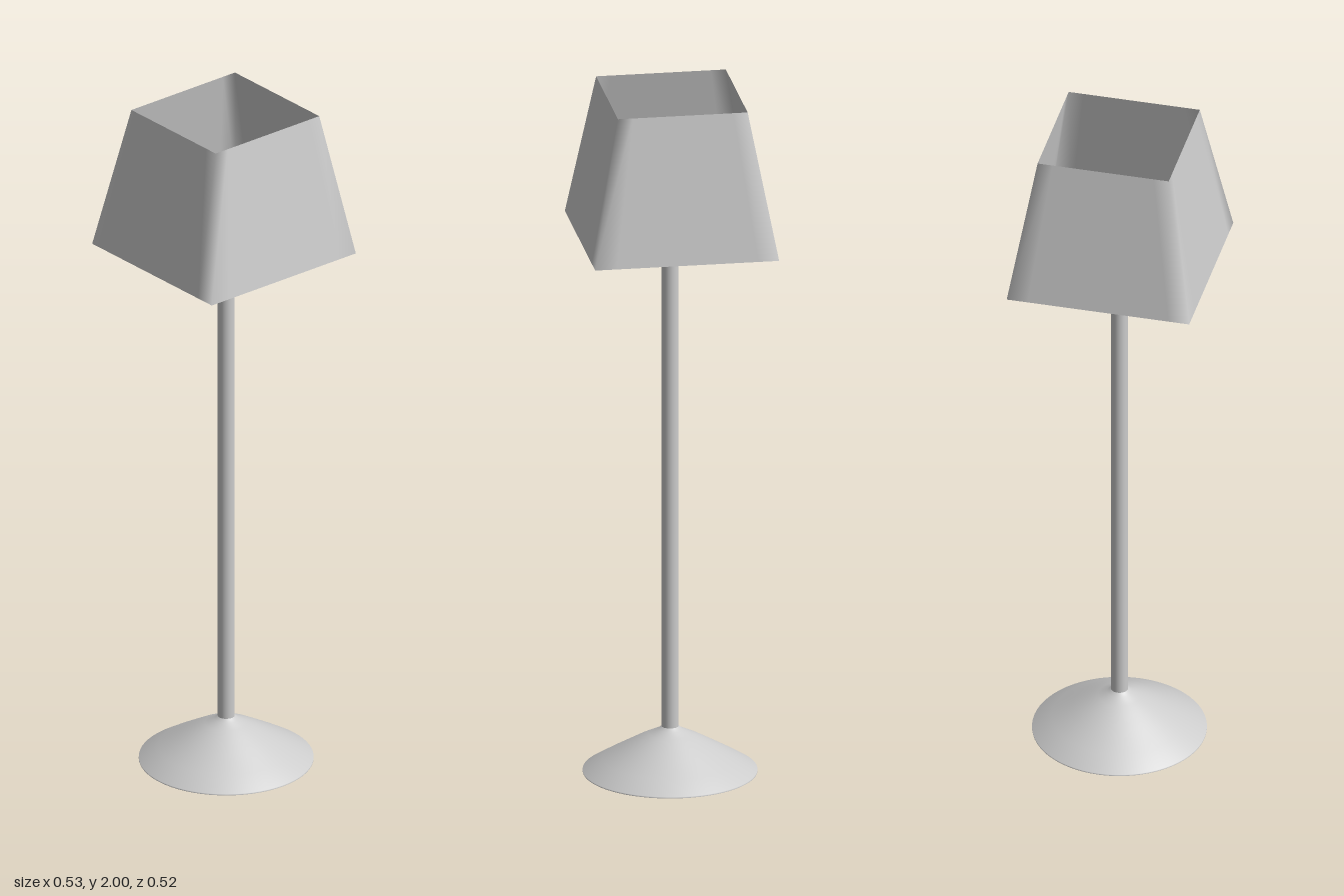
import * as THREE from 'three';

const grey = (side = THREE.FrontSide) => new THREE.MeshStandardMaterial({ color: 0xcccccc, side });

// Square ring as [x, z] points in units of the half-width, with extra points near the corners
function squareRing(inset) {
  const ring = [];
  for (let k = 0; k < 4; k++) {
    const c = Math.round(Math.cos(k * Math.PI / 2)), s = Math.round(Math.sin(k * Math.PI / 2));
    for (const t of [-1, -inset, inset]) ring.push([t * c + s, c - t * s]);
  }
  return ring;
}

// Open tapered shade: bottom and top rings joined by a band, softly shaded at the corners
function shadeGeometry() {
  const ring = squareRing(0.77), n = ring.length;
  const levels = [
    { y: 1.58, cx: 0, cz: 0, hx: 0.263, hz: 0.261 },
    { y: 2.0, cx: 0.004, cz: 0.001, hx: 0.189, hz: 0.184 },
  ];
  const positions = [], index = [];
  for (const l of levels)
    for (const [x, z] of ring) positions.push(l.cx + x * l.hx, l.y, l.cz + z * l.hz);
  for (let i = 0; i < n; i++) {
    const j = (i + 1) % n;
    index.push(i, j, n + j, i, n + j, n + i);
  }
  const g = new THREE.BufferGeometry();
  g.setAttribute('position', new THREE.Float32BufferAttribute(positions, 3));
  g.setIndex(index);
  g.computeVertexNormals();
  return g;
}

export function createModel() {
  const lamp = new THREE.Group();
  lamp.name = 'floorLamp';
  const add = (name, geometry, material, y = 0, x = 0, z = 0) => {
    const mesh = new THREE.Mesh(geometry, material);
    mesh.name = name;
    mesh.position.set(x, y, z);
    lamp.add(mesh);
  };
  const cx = 0.003, cz = 0.006;

  // Foot: shallow cone that flares into the pole, with a flat underside
  const profile = [[0.245, 0], [0.245, 0.004], [0.19, 0.038], [0.13, 0.073], [0.09, 0.096],
    [0.06, 0.111], [0.035, 0.123], [0.024, 0.132]].map(([r, y]) => new THREE.Vector2(r, y));
  add('foot', new THREE.LatheGeometry(profile, 64), grey(), 0, cx, cz);
  add('footUnderside', new THREE.CircleGeometry(0.245, 64).rotateX(Math.PI / 2), grey(), 0, cx, cz);

  // Pole and bulb
  add('pole', new THREE.CylinderGeometry(0.024, 0.024, 1.53, 32), grey(), 0.885, cx, cz);
  add('bulb', new THREE.SphereGeometry(0.048, 32, 20), grey(), 1.675, 0.001, cz);

  // Shade
  add('shade', shadeGeometry(), grey(THREE.DoubleSide));
  return lamp;
}
